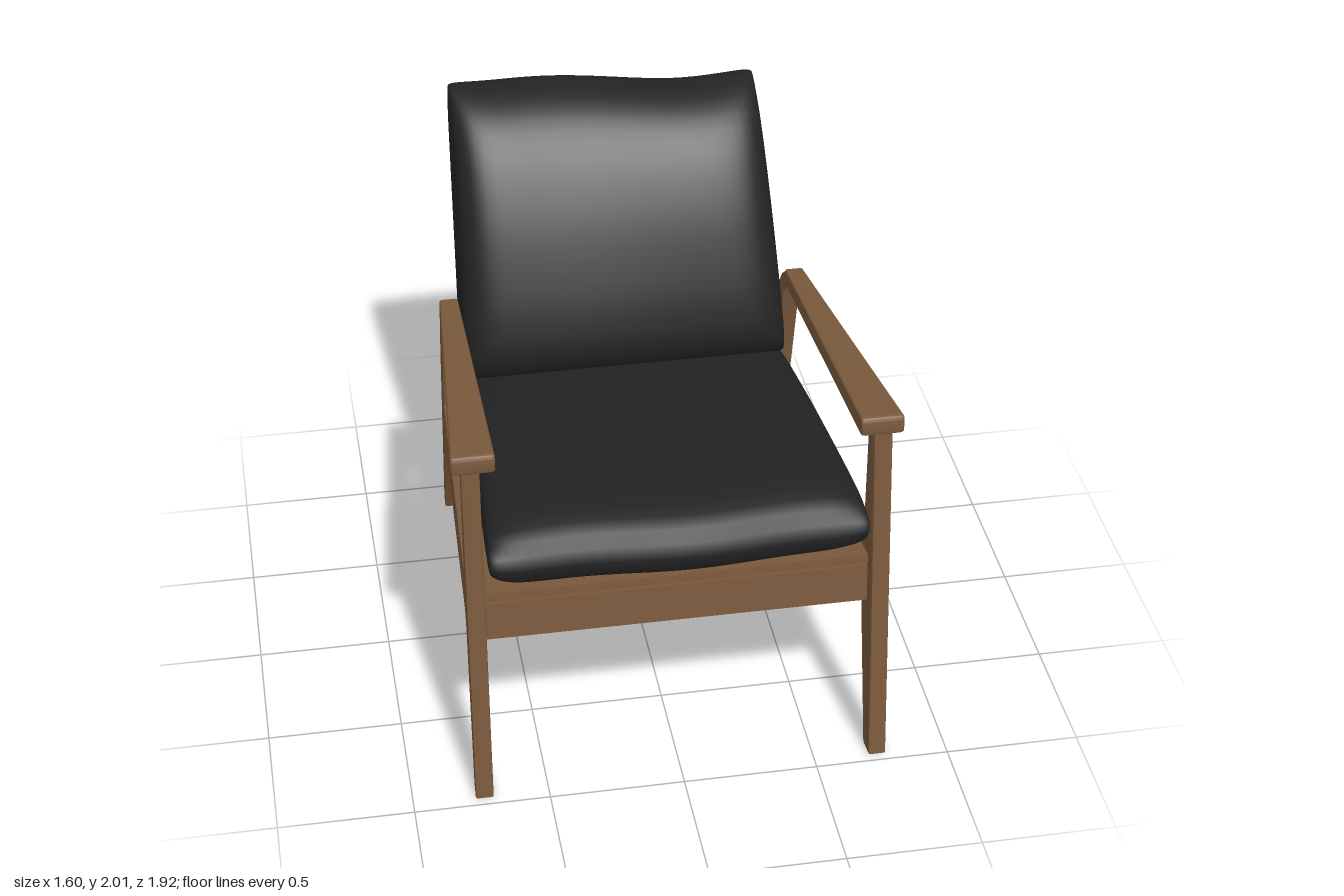
import * as THREE from 'three';
import { toCreasedNormals } from 'three/addons/utils/BufferGeometryUtils.js';

const wood = new THREE.MeshStandardMaterial({ color: 0x7b5a3d });
wood.name = 'walnut wood';
const fabric = new THREE.MeshStandardMaterial({ color: 0x232323 });
fabric.name = 'black fabric';

function mesh(name, geometry, material) {
  const m = new THREE.Mesh(geometry, material);
  m.name = name;
  return m;
}

// Closed outline through [z, y, cornerRadius] points; drawn with -z along the shape's x
function roundedOutline(points, target) {
  const n = points.length;
  const at = (i) => new THREE.Vector2(-points[(i + n) % n][0], points[(i + n) % n][1]);
  for (let i = 0; i < n; i++) {
    const p = at(i), r = points[i][2] || 0;
    const a = p.clone().add(at(i - 1).sub(p).setLength(r));
    const b = p.clone().add(at(i + 1).sub(p).setLength(r));
    if (i === 0) target.moveTo(a.x, a.y);
    else target.lineTo(a.x, a.y);
    if (r > 0) target.quadraticCurveTo(p.x, p.y, b.x, b.y);
  }
  target.closePath();
  return target;
}

// Side profile extruded across x, then placed by centre(z) and thickness(z)
function sidePiece(shape, side, centre, thickness) {
  const bevel = 0.007;
  const geo = new THREE.ExtrudeGeometry(shape, {
    depth: 1 - 0.2, bevelThickness: 0.1, bevelSize: bevel, bevelOffset: -bevel,
    bevelSegments: 2, curveSegments: 6,
  });
  geo.translate(0, 0, -0.4).rotateY(Math.PI / 2);
  const p = geo.attributes.position;
  for (let i = 0; i < p.count; i++) {
    const z = p.getZ(i);
    p.setX(i, side * centre(z) + p.getX(i) * thickness(z));
  }
  return toCreasedNormals(geo, 0.6);
}

// Frames splay outward towards the front
const frameCentre = (z) => 0.69 + 0.05 * z;

function sideFrame(side) {
  const shape = roundedOutline([
    [0.965, 0], [0.825, 1.40], [-0.435, 1.305, 0.10], [-0.595, 0.96, 0.03],
    [-0.93, 0], [-0.855, 0], [-0.61, 0.545, 0.09], [0.75, 0.69, 0.07], [0.89, 0],
  ], new THREE.Shape());
  shape.holes.push(roundedOutline([
    [0.752, 1.35], [0.755, 0.865, 0.08], [-0.51, 0.737, 0.02], [-0.405, 1.245, 0.05],
  ], new THREE.Path()));
  return sidePiece(shape, side, frameCentre, () => 0.066);
}

// Armrest broadens from the rear post to the front
function armrest(side) {
  const t = (z) => THREE.MathUtils.clamp((z + 0.42) / 1.27, 0, 1);
  const shape = roundedOutline([
    [0.85, 1.375, 0.012], [0.845, 1.447, 0.02], [-0.39, 1.312], [-0.39, 1.247],
  ], new THREE.Shape());
  return sidePiece(shape, side, (z) => frameCentre(z) - 0.01 * t(z), (z) => 0.068 + 0.087 * t(z));
}

// Cushion lofted across x: a (z, y) profile whose thickness pinches in at both ends
function cushion(profile, centre, axis, halfWidth, warp) {
  const curve = new THREE.CatmullRomCurve3(
    profile.map(([z, y]) => new THREE.Vector3(0, y, z)), true, 'centripetal');
  const N = 56, ring = curve.getSpacedPoints(N).slice(0, N);
  const along = new THREE.Vector3(0, axis[1], axis[0]).normalize();
  const across = new THREE.Vector3(0, -along.z, along.y);
  const mid = new THREE.Vector3(0, centre[1], centre[0]);
  const S = 32, pos = [], index = [];
  for (let i = 0; i <= S; i++) {
    const u = Math.sin((i / S - 0.5) * Math.PI);
    const full = 1 - Math.abs(u) ** 9;
    const thick = 0.4 + 0.6 * full ** 0.45, long = 0.965 + 0.035 * full ** 0.5;
    for (const p of ring) {
      const d = p.clone().sub(mid);
      const q = mid.clone().addScaledVector(along, d.dot(along) * long)
        .addScaledVector(across, d.dot(across) * thick);
      q.x = u * halfWidth(q.z, q.y);
      warp(q, u);
      pos.push(q.x, q.y, q.z);
    }
  }
  for (let i = 0; i < S; i++) {
    for (let j = 0; j < N; j++) {
      const a = i * N + j, b = i * N + (j + 1) % N;
      index.push(a, a + N, b, b, a + N, b + N);
    }
  }
  // End caps
  for (const end of [0, S]) {
    const c = pos.length / 3, first = end * N;
    const m = [0, 0, 0];
    for (let j = 0; j < N; j++) for (let k = 0; k < 3; k++) m[k] += pos[(first + j) * 3 + k] / N;
    pos.push(...m);
    for (let j = 0; j < N; j++) {
      const a = first + j, b = first + (j + 1) % N;
      if (end) index.push(c, b, a);
      else index.push(c, a, b);
    }
  }
  const geo = new THREE.BufferGeometry();
  geo.setAttribute('position', new THREE.Float32BufferAttribute(pos, 3));
  geo.setIndex(index);
  return toCreasedNormals(geo, 1.0);
}

// Flat board with a trapezoid outline
function board(bottomHalf, topHalf, y0, y1, depth) {
  const shape = new THREE.Shape([
    [-bottomHalf, y0], [bottomHalf, y0], [topHalf, y1], [-topHalf, y1],
  ].map(([x, y]) => new THREE.Vector2(x, y)));
  return new THREE.ExtrudeGeometry(shape, { depth, bevelEnabled: false });
}

export function createModel() {
  const chair = new THREE.Group();
  chair.name = 'loungeChair';

  for (const [side, label] of [[1, 'left'], [-1, 'right']]) {
    chair.add(mesh(label + 'SideFrame', sideFrame(side), wood));
    chair.add(mesh(label + 'Armrest', armrest(side), wood));
  }

  // Front rail below the seat board
  const rail = mesh('frontRail', new THREE.BoxGeometry(1.40, 0.15, 0.04), wood);
  rail.position.set(0, 0.713, 0.815);
  rail.rotation.x = -0.08;
  chair.add(rail);

  // Seat board slopes down to the rear
  const seat = mesh('seatBoard', board(0.70, 0.64, -0.835, 0.52, 0.035).rotateX(-Math.PI / 2), wood);
  seat.position.y = 0.735;
  seat.rotation.x = -0.08;
  chair.add(seat);

  // Leaning back panel, narrower at the top
  const back = mesh('backPanel', board(0.635, 0.43, 0, 1.044, 0.03), wood);
  back.position.set(0, 0.74, -0.505);
  back.rotation.x = -0.404;
  chair.add(back);

  // Seat cushion
  chair.add(mesh('seatCushion', cushion([
    [0.915, 0.98], [0.89, 1.05], [0.80, 1.095], [0.65, 1.105], [0.30, 1.09], [-0.10, 1.05],
    [-0.40, 0.985], [-0.485, 0.90], [-0.495, 0.79], [-0.43, 0.755], [0.0, 0.795], [0.60, 0.85],
    [0.82, 0.87], [0.90, 0.92],
  ], [0.2, 0.95], [1, 0.1], (z) => 0.645 + 0.044 * z, (q, u) => {
    if (q.z > 0.7) q.z += 0.012 * Math.sin(u * 5 + 1.2);
  }), fabric));

  // Back cushion with a soft, uneven top
  chair.add(mesh('backCushion', cushion([
    [-0.225, 1.10], [-0.24, 1.23], [-0.30, 1.42], [-0.40, 1.65], [-0.52, 1.84], [-0.63, 1.945],
    [-0.76, 1.995], [-0.86, 1.985], [-0.92, 1.92], [-0.945, 1.83], [-0.90, 1.71], [-0.75, 1.38],
    [-0.585, 1.03], [-0.53, 0.955], [-0.42, 0.94], [-0.30, 0.985],
  ], [-0.58, 1.46], [-0.4, 0.92], (z, y) => 0.63 - 0.03 * (y - 0.95), (q, u) => {
    const t = THREE.MathUtils.clamp((q.y - 1.0) / 1.0, 0, 1);
    const s = THREE.MathUtils.smoothstep(u, -0.6, 0.6);
    q.y -= 0.035 * t * t * s;
    q.y += 0.025 * t * t * u ** 6;
    q.x -= 0.03 * t * s * Math.max(u, 0);
    q.z += 0.03 * t * t * s - 0.012 * t * Math.cos(u * 4 + 1);
  }), fabric));

  return chair;
}
